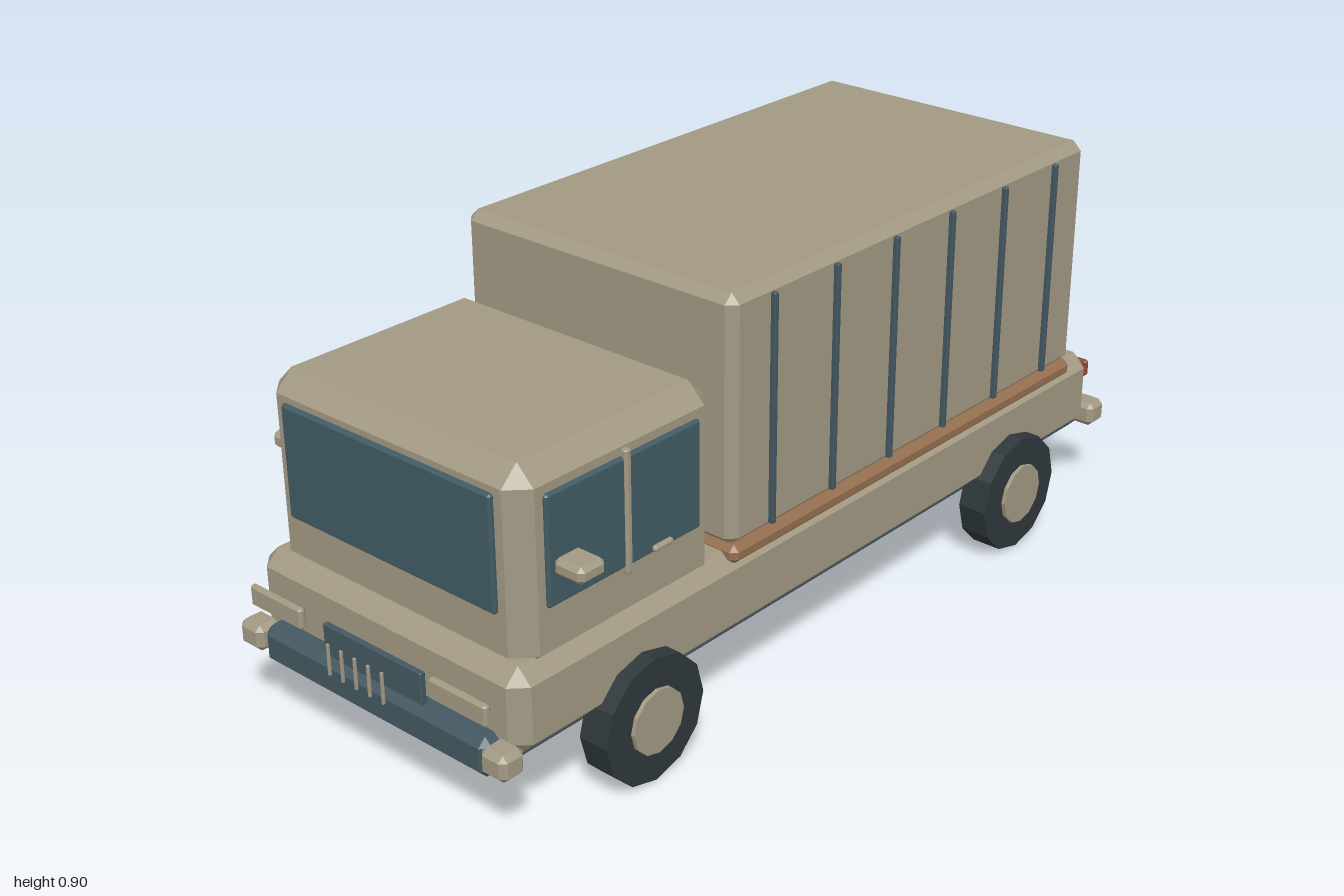
import * as THREE from 'three';
import { ConvexGeometry } from 'three/addons/geometries/ConvexGeometry.js';

const paint = (color) => new THREE.MeshStandardMaterial({ color, flatShading: true });

// Box between two limits per axis, with every edge chamfered by c.
function chamferBox([x0, x1], [y0, y1], [z0, z1], c) {
  const h = [(x1 - x0) / 2, (y1 - y0) / 2, (z1 - z0) / 2];
  const points = [];
  for (const sx of [-1, 1]) for (const sy of [-1, 1]) for (const sz of [-1, 1]) {
    for (let full = 0; full < 3; full++) {
      const p = [sx, sy, sz].map((s, i) => s * (h[i] - (i === full ? 0 : c)));
      points.push(new THREE.Vector3(...p));
    }
  }
  return new ConvexGeometry(points).translate((x0 + x1) / 2, (y0 + y1) / 2, (z0 + z1) / 2);
}

export function createModel() {
  const truck = new THREE.Group();
  truck.name = 'boxTruck';
  const tan = paint(0xa39a84), steel = paint(0x445862), dark = paint(0x2f383c);
  const glass = paint(0x415b64), brown = paint(0x94704f), red = paint(0x8f4532);

  const add = (name, geometry, material) => {
    const mesh = new THREE.Mesh(geometry, material);
    mesh.name = name;
    truck.add(mesh);
    return mesh;
  };
  const box = (name, x, y, z, c, material) => add(name, chamferBox(x, y, z, c), material);
  // The same box on the left (+x) and mirrored to the right.
  const pair = (name, x, y, z, c, material) => {
    box(name + 'Left', x, y, z, c, material);
    box(name + 'Right', [-x[1], -x[0]], y, z, c, material);
  };

  // Lower frame whose ends form the bumpers, with corner caps
  box('bumperFrame', [-0.313, 0.313], [0.14, 0.226], [-0.985, 0.968], 0.018, steel);
  pair('frontBumperCap', [0.305, 0.37], [0.165, 0.222], [0.92, 0.98], 0.012, tan);
  pair('rearBumperCap', [0.305, 0.37], [0.165, 0.222], [-1, -0.94], 0.012, tan);

  // Main body
  box('body', [-0.362, 0.362], [0.178, 0.362], [-0.937, 0.928], 0.032, tan);

  // Cab: chamfered upper part with a squared-off foot
  const cab = chamferBox([-0.34, 0.34], [0.33, 0.738], [0.367, 0.89], 0.04);
  const pos = cab.attributes.position;
  for (let i = 0; i < pos.count; i++) {
    if (pos.getY(i) < 0.4) pos.setY(i, pos.getY(i) < 0.35 ? 0.33 : 0.362);
  }
  cab.computeVertexNormals();
  add('cab', cab, tan);

  // Glazing
  box('windshield', [-0.28, 0.28], [0.445, 0.685], [0.88, 0.9], 0.005, glass);
  box('rearWindow', [-0.25, 0.25], [0.45, 0.68], [0.357, 0.375], 0.004, glass);
  pair('sideWindow', [0.33, 0.348], [0.453, 0.68], [0.425, 0.83], 0.005, glass);

  // Door details and mirrors
  pair('doorPillar', [0.338, 0.354], [0.44, 0.695], [0.618, 0.634], 0.004, tan);
  pair('doorHandle', [0.338, 0.357], [0.457, 0.47], [0.51, 0.562], 0.004, tan);
  pair('mirror', [0.348, 0.42], [0.52, 0.556], [0.755, 0.822], 0.01, tan);

  // Cargo box on its rail, with side ribs
  box('cargoRail', [-0.363, 0.363], [0.335, 0.377], [-0.842, 0.346], 0.013, brown);
  box('cargoBox', [-0.356, 0.356], [0.37, 0.897], [-0.848, 0.346], 0.02, tan);
  for (let i = 0; i < 6; i++) {
    const z = 0.23 - i * 0.19;
    pair('cargoRib' + (i + 1), [0.35, 0.367], [0.387, 0.875], [z - 0.006, z + 0.006], 0.002, steel);
  }

  // Rear doors
  box('rearDoor', [-0.325, 0.325], [0.388, 0.868], [-0.86, -0.84], 0.005, tan);
  pair('rearDoorBar', [0.055, 0.067], [0.42, 0.845], [-0.869, -0.855], 0.003, tan);

  // Grille and lamps
  box('grille', [-0.136, 0.136], [0.224, 0.293], [0.943, 0.956], 0.002, steel);
  for (let i = -2; i <= 2; i++) {
    const x = i * 0.0375;
    box('grilleBar' + (i + 3), [x - 0.003, x + 0.003], [0.222, 0.29], [0.992, 0.998], 0.001, tan);
  }
  pair('headlight', [0.177, 0.326], [0.267, 0.313], [0.96, 0.976], 0.005, tan);
  pair('tailLight', [0.178, 0.323], [0.27, 0.31], [-0.994, -0.978], 0.005, red);

  // Wheels
  for (const [end, z] of [['front', 0.61], ['rear', -0.605]]) {
    for (const [side, s] of [['Left', 1], ['Right', -1]]) {
      const tire = add(end + 'Tire' + side,
        new THREE.CylinderGeometry(0.135, 0.135, 0.068, 12).rotateZ(Math.PI / 2), dark);
      tire.position.set(s * 0.362, 0.135, z);
      const hub = add(end + 'Hub' + side,
        new THREE.CylinderGeometry(0.069, 0.069, 0.05, 12).rotateZ(Math.PI / 2), tan);
      hub.position.set(s * 0.38, 0.135, z);
    }
  }
  return truck;
}
